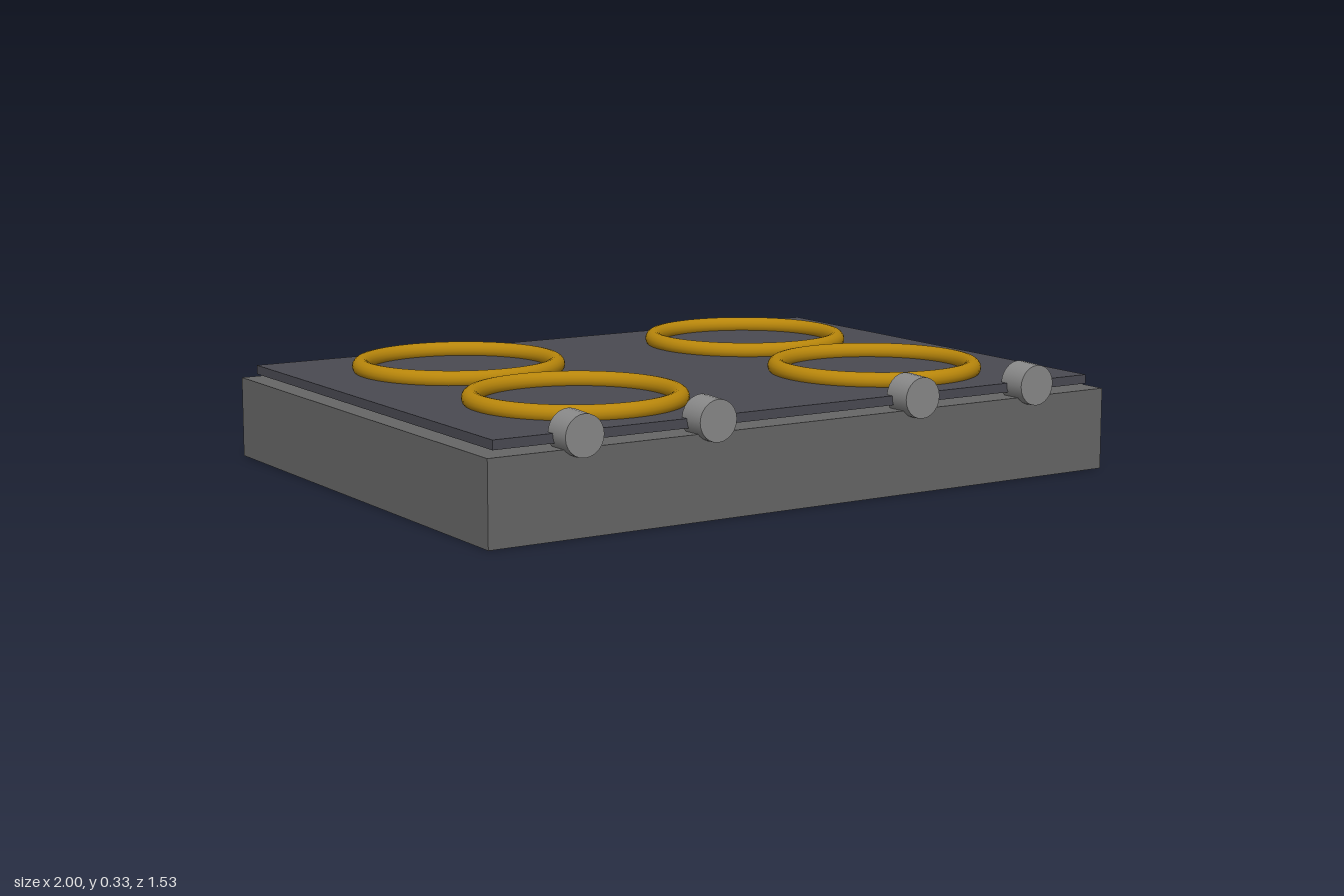
import * as THREE from 'three';

export function createModel() {
  const model = new THREE.Group();
  const mat = (color) => new THREE.MeshStandardMaterial({ color });
  const bodyMat = mat(0x666666);
  const plateMat = mat(0x4a4a52);
  const ringMat = mat(0xb8860b);
  const knobMat = mat(0x888888);

  const add = (name, geometry, material, x, y, z) => {
    const mesh = new THREE.Mesh(geometry, material);
    mesh.name = name;
    mesh.position.set(x, y, z);
    model.add(mesh);
  };

  // Housing, and the cooking plate floating just above it
  const midZ = -0.013;
  add('body', new THREE.BoxGeometry(2, 0.233, 1.5), bodyMat, 0, 0.1165, midZ);
  add('cooktopPlate', new THREE.BoxGeometry(1.933, 0.026, 1.433), plateMat, 0, 0.258, midZ);

  // Four burner rings
  const ring = new THREE.TorusGeometry(0.283, 0.025, 16, 64).rotateX(Math.PI / 2);
  for (const [row, z] of [['back', -0.35], ['front', 0.317]]) {
    for (const [side, x] of [['Left', 0.5], ['Right', -0.5]]) {
      add(`${row}${side}BurnerRing`, ring, ringMat, x, 0.285, z);
    }
  }

  // Slightly tapered control knobs along the front edge
  const knob = new THREE.CylinderGeometry(0.057, 0.06, 0.083, 24).rotateX(Math.PI / 2);
  [-0.735, -0.333, 0.333, 0.735].forEach((x, i) => {
    add(`controlKnob${i + 1}`, knob, knobMat, x, 0.268, 0.7215);
  });

  return model;
}
